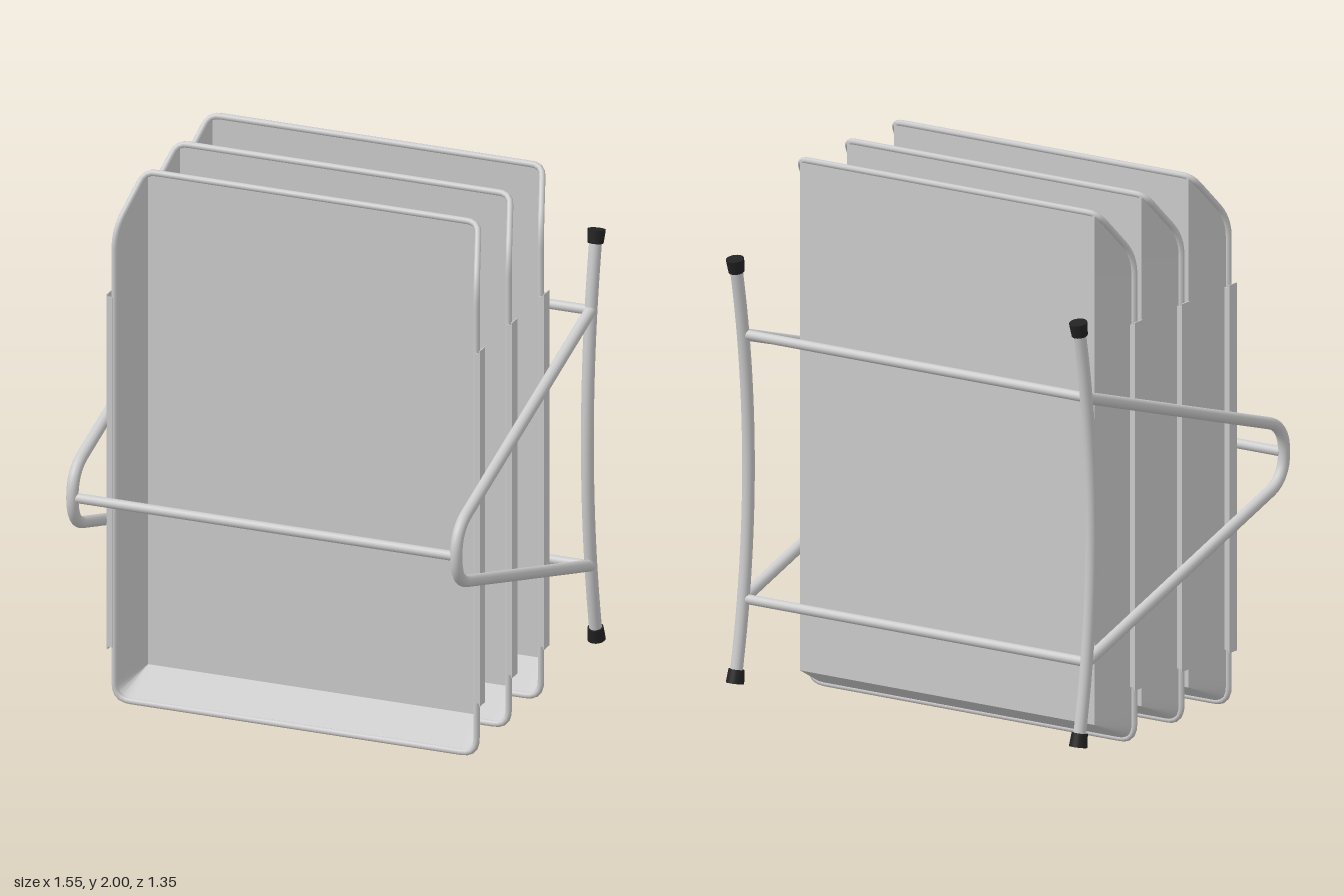
import * as THREE from 'three';
import { toCreasedNormals } from 'three/addons/utils/BufferGeometryUtils.js';

const grey = new THREE.MeshStandardMaterial({ color: 0xcccccc });
const sheet = new THREE.MeshStandardMaterial({ color: 0xcccccc, side: THREE.DoubleSide });
const black = new THREE.MeshStandardMaterial({ color: 0x222222 });
const V = (x, y, z) => new THREE.Vector3(x, y, z);

function add(parent, name, geometry, material = grey) {
  const mesh = new THREE.Mesh(geometry, material);
  mesh.name = name;
  parent.add(mesh);
  return mesh;
}

// Path through [point, filletLength] corners, with each corner rounded off
function roundedPath(corners, closed) {
  const path = new THREE.CurvePath();
  path.arcLengthDivisions = 800;
  const n = corners.length;
  const toward = (a, b, d) => a.clone().add(b.clone().sub(a).setLength(d));
  let last = closed ? null : corners[0][0];
  let first = last;
  const lineTo = (p) => {
    if (last && last.distanceTo(p) > 1e-3) path.add(new THREE.LineCurve3(last, p));
  };
  for (let i = closed ? 0 : 1; i < (closed ? n : n - 1); i++) {
    const [p, d] = corners[i];
    const a = toward(p, corners[(i + n - 1) % n][0], d);
    const b = toward(p, corners[(i + 1) % n][0], d);
    lineTo(a);
    if (!first) first = a;
    path.add(new THREE.QuadraticBezierCurve3(a, p, b));
    last = b;
  }
  lineTo(closed ? first : corners[n - 1][0]);
  return path;
}

// Straight round bar along x
function crossbar(parent, name, y, z) {
  const bar = add(parent, name, new THREE.CylinderGeometry(0.018, 0.018, 1.46, 16));
  bar.rotation.z = Math.PI / 2;
  bar.position.set(0, y, z);
}

const BACK = 0.205, HALF = 0.635, FLOOR = 0.1, TOP = 1.988;

function createTray() {
  const tray = new THREE.Group();
  tray.name = 'tray';

  // Wire rim: rounded at the bottom, sloping to the back at the top
  const half = [
    [V(0.698, 0.016, 0.363), 0.06],
    [V(0.698, 1.81, 0.363), 0.07],
    [V(0.642, TOP, 0.212), 0.04],
  ];
  const mirrored = half.map(([p, d]) => [V(-p.x, p.y, p.z), d]).reverse();
  const path = roundedPath([...half, ...mirrored], true);
  add(tray, 'rim', new THREE.TubeGeometry(path, 320, 0.012, 8, true));

  // Back panel
  const panel = new THREE.PlaneGeometry(HALF * 2, TOP - FLOOR);
  panel.translate(0, (TOP + FLOOR) / 2, BACK);
  add(tray, 'backPanel', panel, sheet);

  // Sloped walls join the rim to the edge of the back panel
  const pts = path.getSpacedPoints(320);
  const pos = [], index = [];
  pts.forEach((p, i) => {
    pos.push(p.x, p.y, p.z);
    pos.push(THREE.MathUtils.clamp(p.x, -HALF, HALF), Math.max(p.y, FLOOR), BACK);
    const a = i * 2;
    if (i) index.push(a - 2, a, a - 1, a, a + 1, a - 1);
  });
  const walls = new THREE.BufferGeometry();
  walls.setAttribute('position', new THREE.Float32BufferAttribute(pos, 3));
  walls.setIndex(index);
  add(tray, 'walls', toCreasedNormals(walls, 0.5), sheet);

  // Thin channel rails clipped around the rim on both sides
  for (const s of [-1, 1]) {
    const rail = new THREE.Group();
    rail.name = 'sideRail';
    const web = add(rail, 'railWeb', new THREE.BoxGeometry(0.004, 1.36, 0.048));
    web.position.set(s * 0.718, 0.89, 0.361);
    for (const z of [0.339, 0.383]) {
      const lip = add(rail, 'railLip', new THREE.BoxGeometry(0.022, 1.34, 0.004));
      lip.position.set(s * 0.709, 0.89, z);
    }
    tray.add(rail);
  }
  return tray;
}

function createSideFrame(x) {
  const side = new THREE.Group();
  side.name = 'sideFrame';

  // Bowed rear upright
  const bow = new THREE.QuadraticBezierCurve3(V(0, 0.12, -0.64), V(0, 0.88, -0.48), V(0, 1.64, -0.64));
  add(side, 'rearUpright', new THREE.TubeGeometry(bow, 40, 0.023, 16));

  // Hairpin arm reaching forward
  const arm = roundedPath([
    [V(0, 1.374, -0.593), 0],
    [V(0, 0.983, 0.653), 0.098],
    [V(0, 0.787, 0.653), 0.098],
    [V(0, 0.396, -0.593), 0],
  ], false);
  add(side, 'hairpinArm', new THREE.TubeGeometry(arm, 120, 0.022, 16));

  // End caps follow the upright's direction
  for (const t of [0, 1]) {
    const cap = add(side, 'endCap', new THREE.CylinderGeometry(0.033, 0.029, 0.05, 20), black);
    cap.position.copy(bow.getPoint(t));
    cap.quaternion.setFromUnitVectors(V(0, 1, 0), bow.getTangent(t).multiplyScalar(t ? 1 : -1));
  }
  side.position.x = x;
  return side;
}

export function createModel() {
  const model = new THREE.Group();
  model.name = 'trayRack';

  for (let i = 0; i < 3; i++) {
    const tray = createTray();
    tray.position.z = -0.297 * i;
    model.add(tray);
  }

  for (const s of [-1, 1]) model.add(createSideFrame(s * 0.74));
  crossbar(model, 'frontCrossbar', 0.885, 0.65);
  crossbar(model, 'upperRearCrossbar', 1.374, -0.59);
  crossbar(model, 'lowerRearCrossbar', 0.396, -0.59);
  return model;
}
